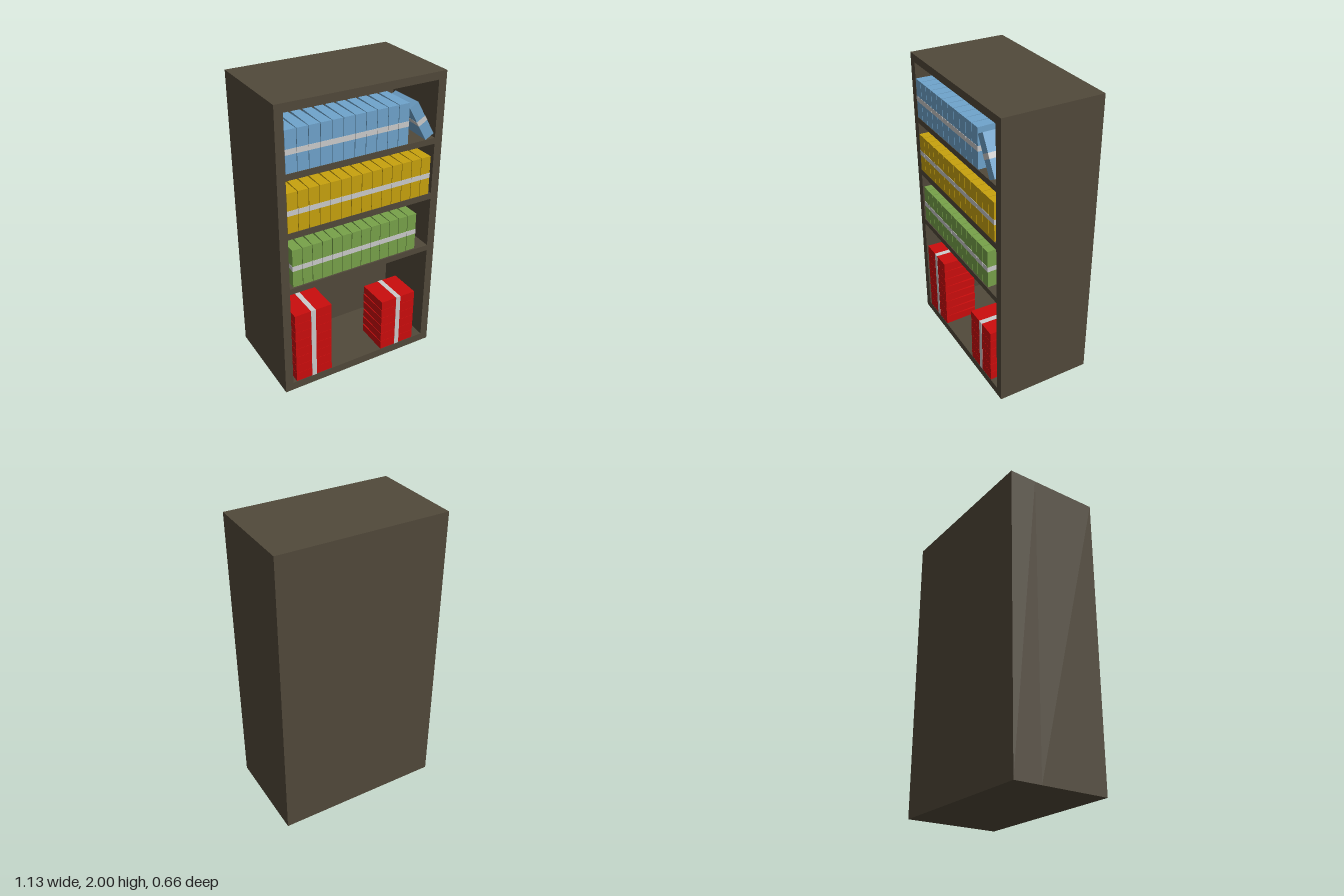
import * as THREE from 'three';

const mat = (name, color) => {
  const m = new THREE.MeshStandardMaterial({ color });
  m.name = name;
  return m;
};

// Box whose thickness (x) narrows towards the back, like a bound volume
function wedge(t, h, d) {
  const g = new THREE.BoxGeometry(t, h, d).toNonIndexed();
  const p = g.attributes.position;
  for (let i = 0; i < p.count; i++) if (p.getZ(i) < 0) p.setX(i, p.getX(i) * 0.82);
  g.computeVertexNormals();
  return g;
}

export function createModel() {
  const root = new THREE.Group();
  root.name = 'bookcase';
  const wood = mat('dark wood', 0x51493a);
  const blue = mat('blue cover', 0x6fa4cc);
  const yellow = mat('yellow cover', 0xc8a20e);
  const green = mat('green cover', 0x78a24a);
  const red = mat('red cover', 0xcb0d0d);
  const white = mat('white band', 0xcccccc);

  const W = 0.565, Z = 0.328, BACK = -0.14, H = 0.262, D = 0.23;

  // Cabinet front frame with four openings
  const frame = new THREE.Shape([[-W, 0], [W, 0], [W, 2], [-W, 2]].map(a => new THREE.Vector2(...a)));
  for (const [lo, hi] of [[0.057, 0.765], [0.805, 1.155], [1.197, 1.54], [1.58, 1.95]]) {
    frame.holes.push(new THREE.Path(
      [[-0.51, lo], [-0.51, hi], [0.51, hi], [0.51, lo]].map(a => new THREE.Vector2(...a))));
  }
  const cabinet = new THREE.Mesh(
    new THREE.ExtrudeGeometry(frame, { depth: Z - BACK, bevelEnabled: false }), wood);
  cabinet.name = 'cabinetFrame';
  cabinet.position.z = BACK;
  root.add(cabinet);

  // Solid back of the cabinet
  const back = new THREE.Mesh(new THREE.BoxGeometry(2 * W, 2, BACK + Z), wood);
  back.name = 'cabinetBack';
  back.position.set(0, 1, (BACK - Z) / 2);
  root.add(back);

  // One book with a band wrapped round its middle
  function book(name, cover, x, y, thickness, turn = 0) {
    const g = new THREE.Group();
    g.name = name;
    const body = new THREE.Mesh(wedge(thickness, H, D), cover);
    body.name = 'cover';
    const band = new THREE.Mesh(wedge(thickness + 0.002, 0.034, D + 0.003), white);
    band.name = 'band';
    g.add(body, band);
    g.position.set(x, y, Z - D / 2);
    g.rotation.z = turn;
    root.add(g);
  }

  // Upright rows
  const rows = [
    ['blueBook', blue, -0.51, 0.31, 11, 1.583],
    ['yellowBook', yellow, -0.51, 0.49, 14, 1.199],
    ['greenBook', green, -0.488, 0.407, 13, 0.814],
  ];
  for (const [name, cover, x0, x1, n, base] of rows) {
    const pitch = (x1 - x0) / n;
    for (let i = 0; i < n; i++) book(name, cover, x0 + (i + 0.5) * pitch, base + H / 2, pitch - 0.004);
  }

  // Leaning book at the end of the top row
  book('leaningBlueBook', blue, 0.4035, 1.711, 0.066, 0.515);

  // Flat stacks on the bottom shelf
  for (const [x, n] of [[-0.352, 8], [0.298, 6]]) {
    for (let i = 0; i < n; i++) book('redBook', red, x, 0.059 + (i + 0.5) * 0.0664, 0.0645, Math.PI / 2);
  }
  return root;
}
